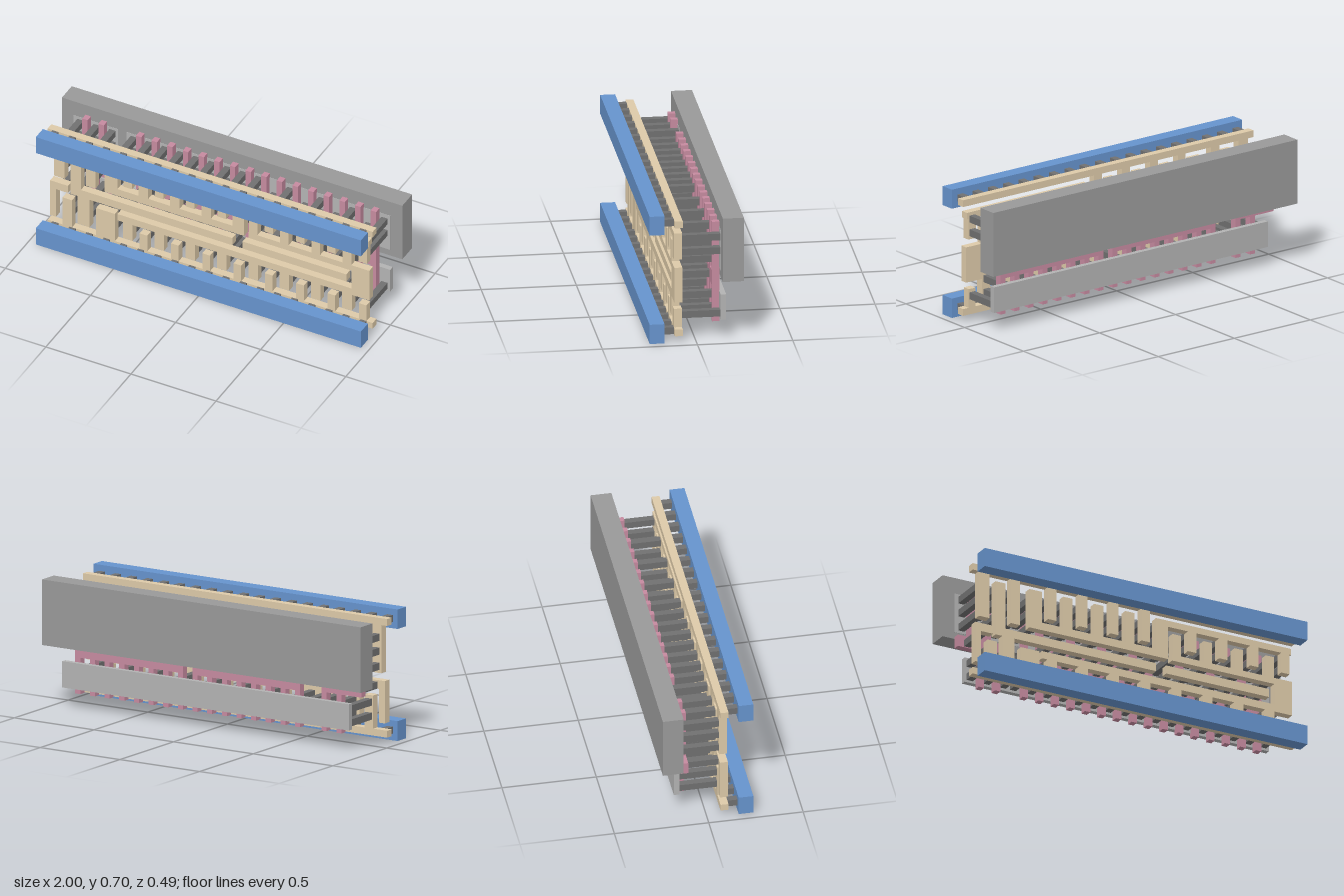
import * as THREE from 'three';

const mat = (color) => new THREE.MeshStandardMaterial({ color });

export function createModel() {
  const model = new THREE.Group();

  // Each layer is a slab of fixed depth (back z, front z) and colour
  const layer = (name, z0, z1, color) => {
    const group = new THREE.Group();
    const material = mat(color);
    group.name = name;
    model.add(group);
    return (part, x0, x1, y0, y1) => {
      const mesh = new THREE.Mesh(new THREE.BoxGeometry(x1 - x0, y1 - y0, z1 - z0), material);
      mesh.position.set((x0 + x1) / 2, (y0 + y1) / 2, (z0 + z1) / 2);
      mesh.name = part;
      group.add(mesh);
    };
  };
  const rail = layer('powerRails', 0.167, 0.245, 0x6693cc);
  const via = layer('railVias', 0.113, 0.167, 0x707070);
  const wire = layer('localWiring', 0.071, 0.113, 0xdcc9a8);
  const post = layer('contactPosts', -0.132, 0.071, 0x707070);
  const gate = layer('gateLayer', -0.133, -0.095, 0xc58a9f);
  const diffusion = layer('diffusion', -0.16, -0.131, 0xb2b2b2);
  const well = layer('well', -0.243, -0.133, 0x999999);

  const tooth = (name, x, w, y0, y1) => wire(name, x - w / 2, x + w / 2, y0, y1);
  const contacts = (x, ...rows) =>
    rows.forEach((y) => post('contact', x - 0.018, x + 0.018, y, y + 0.037));

  // Base slabs
  well('wellSlab', -1, 1, 0.34, 0.69);
  diffusion('upperDiffusionShort', -0.93, -0.67, 0.378, 0.6);
  diffusion('upperDiffusionLong', -0.62, 0.93, 0.378, 0.6);
  diffusion('lowerDiffusion', -0.87, 0.93, 0.107, 0.247);

  // Power rails with their inner strips and rows of vias
  for (const [y0, y1, s] of [[0, 0.106, 0.036], [0.598, 0.702, 0.632]]) {
    rail('rail', -0.955, 0.955, y0, y1);
    wire('railStrip', -0.955, 0.955, s, s + 0.037);
    for (let i = 0; i < 19; i++) {
      const x = -0.908 + i * 0.1005;
      via('via', x - 0.018, x + 0.018, s, s + 0.037);
    }
  }

  // Sixteen gate fingers joined by two bars
  const pitch = 0.092;
  for (let i = 0; i < 16; i++) {
    const x = -0.53 + i * pitch;
    gate('gateFinger', x - 0.016, x + 0.016, 0.078, 0.627);
  }
  gate('gateBar', -0.546, 0.13, 0.272, 0.352);
  gate('gateBar', 0.19, 0.866, 0.272, 0.352);

  // Stepped pair of gate fingers at the right end
  for (const [up, low] of [[-0.845, -0.79], [-0.75, -0.695]]) {
    gate('steppedFingerTop', up - 0.016, up + 0.016, 0.34, 0.627);
    gate('steppedFingerBottom', low - 0.016, low + 0.016, 0.078, 0.34);
  }
  gate('steppedBar', -0.93, -0.679, 0.285, 0.35);

  // Interlocking comb wiring over the gaps between fingers
  for (let k = 0; k <= 16; k++) {
    const x = -0.576 + k * pitch;
    const even = k % 2 === 0;
    if (k < 8) {
      if (even) {
        tooth('upperCombTooth', x, 0.056, 0.375, 0.595);
        contacts(x, 0.548, 0.474, 0.393);
      } else {
        tooth('upperRailTooth', x, 0.05, 0.447, 0.64);
        contacts(x, 0.548, 0.474);
      }
    } else if (k > 8) {
      if (even) {
        tooth('hangingTooth', x, 0.05, 0.447, 0.595);
        contacts(x, 0.54, 0.465);
      } else {
        tooth('outputTooth', x, 0.05, 0.375, 0.525);
        contacts(x, 0.474, 0.39);
      }
    }
    if (!even) {
      tooth('lowerOutputTooth', x, 0.056, 0.11, 0.24);
      contacts(x, 0.12, 0.195);
    } else if (k > 0) {
      tooth('lowerRailTooth', x, 0.045, 0.05, 0.175);
      contacts(x, 0.12);
    }
  }
  contacts(0.16, 0.548, 0.474, 0.393);

  // Long wiring bars
  wire('upperCombBar', -0.62, 0.2, 0.375, 0.418);
  wire('upperCombEnd', -0.62, -0.545, 0.375, 0.595);
  wire('linkPost', 0.13, 0.2, 0.375, 0.595);
  wire('hangingBar', 0.13, 0.93, 0.56, 0.595);
  wire('outputBar', 0.225, 0.935, 0.372, 0.407);
  wire('outputColumn', 0.83, 0.935, 0.214, 0.407);
  wire('lowerOutputBar', -0.545, 0.935, 0.214, 0.255);

  // Gate bus bars and their contacts
  wire('gateBus', -0.82, 0.13, 0.29, 0.336);
  wire('gateBus', 0.19, 0.8, 0.29, 0.336);
  for (let i = 0; i < 7; i++) {
    contacts(-0.49 + i * 0.094, 0.29);
    contacts(0.225 + i * 0.088, 0.29);
  }

  // Small input stage at the right end
  wire('inputArm', -0.94, -0.835, 0.29, 0.336);
  wire('inputLeg', -0.94, -0.905, 0.11, 0.336);
  contacts(-0.875, 0.29);
  wire('stageRailTooth', -0.918, -0.855, 0.375, 0.64);
  wire('stageRailTooth', -0.73, -0.675, 0.375, 0.64);
  wire('stageOutputTop', -0.82, -0.76, 0.3, 0.595);
  wire('stageOutputBottom', -0.78, -0.708, 0.11, 0.31);
  for (const x of [-0.89, -0.795, -0.702]) contacts(x, 0.548, 0.474, 0.393);
  wire('stageLowerTooth', -0.867, -0.812, 0.05, 0.25);
  wire('wideLowerTooth', -0.67, -0.56, 0.05, 0.25);
  for (const x of [-0.84, -0.743, -0.645, -0.585]) contacts(x, 0.12, 0.195);

  return model;
}
